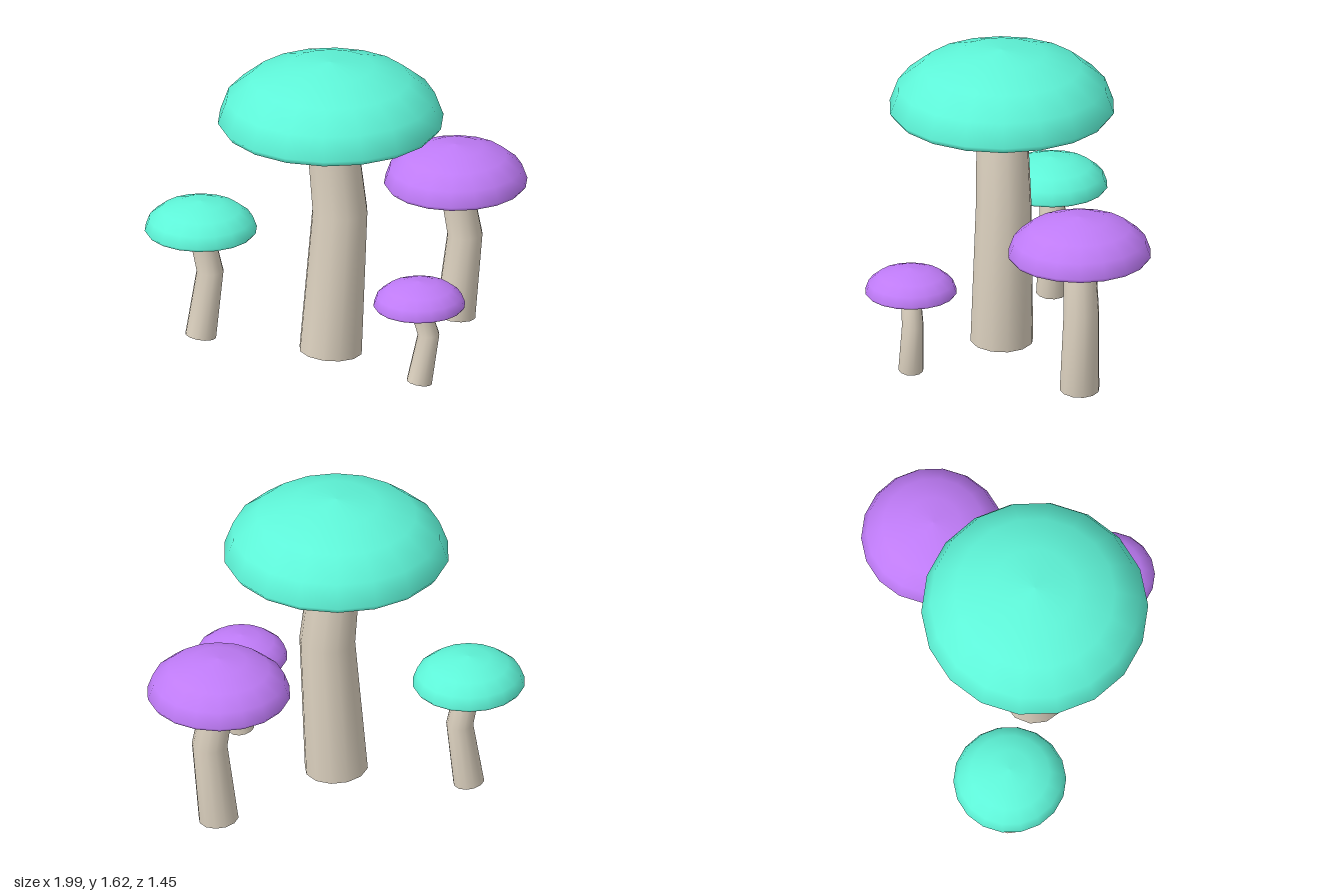
import * as THREE from 'three';

const TEAL = 0x5ef5d8, PURPLE = 0xbf7bf7, STEM = 0xddd2c0;
const CAP_SIDES = 18, STEM_SIDES = 12;

const paint = (color) => new THREE.MeshStandardMaterial({ color, roughness: 0.9 });

function addMesh(parent, name, geometry, material) {
  const mesh = new THREE.Mesh(geometry, material);
  mesh.name = name;
  parent.add(mesh);
}

// Bent stem: three tapering rings, each square to the bend, plus a flat foot
function stemGeometry(rings) {
  const pos = [], idx = [], n = STEM_SIDES;
  const addRing = ({ x, y, r, slope }) => {
    for (let i = 0; i < n; i++) {
      const a = (i / n) * Math.PI * 2;
      const dx = r * Math.cos(a);
      pos.push(x + dx, y + slope * dx, r * Math.sin(a));
    }
  };
  rings.forEach(addRing);
  for (let k = 0; k < rings.length - 1; k++) {
    for (let i = 0; i < n; i++) {
      const j = (i + 1) % n;
      const a = k * n + i, b = k * n + j;
      idx.push(a, a + n, b, b, a + n, b + n);
    }
  }
  const foot = pos.length / 3;
  addRing(rings[0]);
  pos.push(rings[0].x, rings[0].y, 0);
  for (let i = 0; i < n; i++) idx.push(foot + n, foot + i, foot + (i + 1) % n);

  const g = new THREE.BufferGeometry();
  g.setAttribute('position', new THREE.Float32BufferAttribute(pos, 3));
  g.setIndex(idx);
  g.computeVertexNormals();
  return g;
}

// Cap: rounded lip and a squashed quarter-circle dome
function capGeometry(r, bottom, top) {
  const lip = bottom + (top - bottom) * 0.09;
  const pts = [new THREE.Vector2(r * 0.96, bottom)];
  for (let i = 0; i <= 4; i++) {
    const a = (i / 4) * Math.PI / 2;
    pts.push(new THREE.Vector2(i === 4 ? 0 : r * Math.cos(a), lip + (top - lip) * Math.sin(a)));
  }
  return new THREE.LatheGeometry(pts, CAP_SIDES);
}

function mushroom(name, m) {
  const group = new THREE.Group();
  group.name = name;
  group.position.set(m.x, 0, m.z);

  const base = 0.0125, bend = 0.05;
  const slope = bend / m.midY;
  const topY = m.bottom + (m.top - m.bottom) * 0.25;
  const lean = bend / (m.bottom - m.midY);
  addMesh(group, 'stem', stemGeometry([
    { x: 0, y: base, r: m.radii[0], slope: -slope },
    { x: bend, y: m.midY, r: m.radii[1], slope: 0 },
    { x: bend - lean * (topY - m.midY), y: topY, r: m.radii[2], slope: lean },
  ]), paint(STEM));

  addMesh(group, 'cap', capGeometry(m.capR, m.bottom, m.top), paint(m.color));
  const under = new THREE.CircleGeometry(m.capR * 0.96, CAP_SIDES, Math.PI / 2);
  under.rotateX(Math.PI / 2);
  under.translate(0, m.bottom, 0);
  addMesh(group, 'capUnderside', under, paint(m.color));
  return group;
}

export function createModel() {
  const model = new THREE.Group();
  model.name = 'mushroomCluster';
  model.add(
    mushroom('largeMushroom', {
      x: -0.12, z: -0.055, capR: 0.587, bottom: 1.275, top: 1.625,
      midY: 0.79, radii: [0.165, 0.146, 0.13], color: TEAL,
    }),
    mushroom('mediumMushroom', {
      x: 0.63, z: -0.32, capR: 0.373, bottom: 0.745, top: 0.97,
      midY: 0.465, radii: [0.104, 0.093, 0.083], color: PURPLE,
    }),
    mushroom('smallMushroom', {
      x: -0.71, z: -0.43, capR: 0.292, bottom: 0.595, top: 0.765,
      midY: 0.37, radii: [0.081, 0.071, 0.063], color: TEAL,
    }),
    mushroom('tinyMushroom', {
      x: 0.2, z: 0.485, capR: 0.239, bottom: 0.435, top: 0.575,
      midY: 0.275, radii: [0.066, 0.057, 0.05], color: PURPLE,
    }),
  );
  return model;
}
